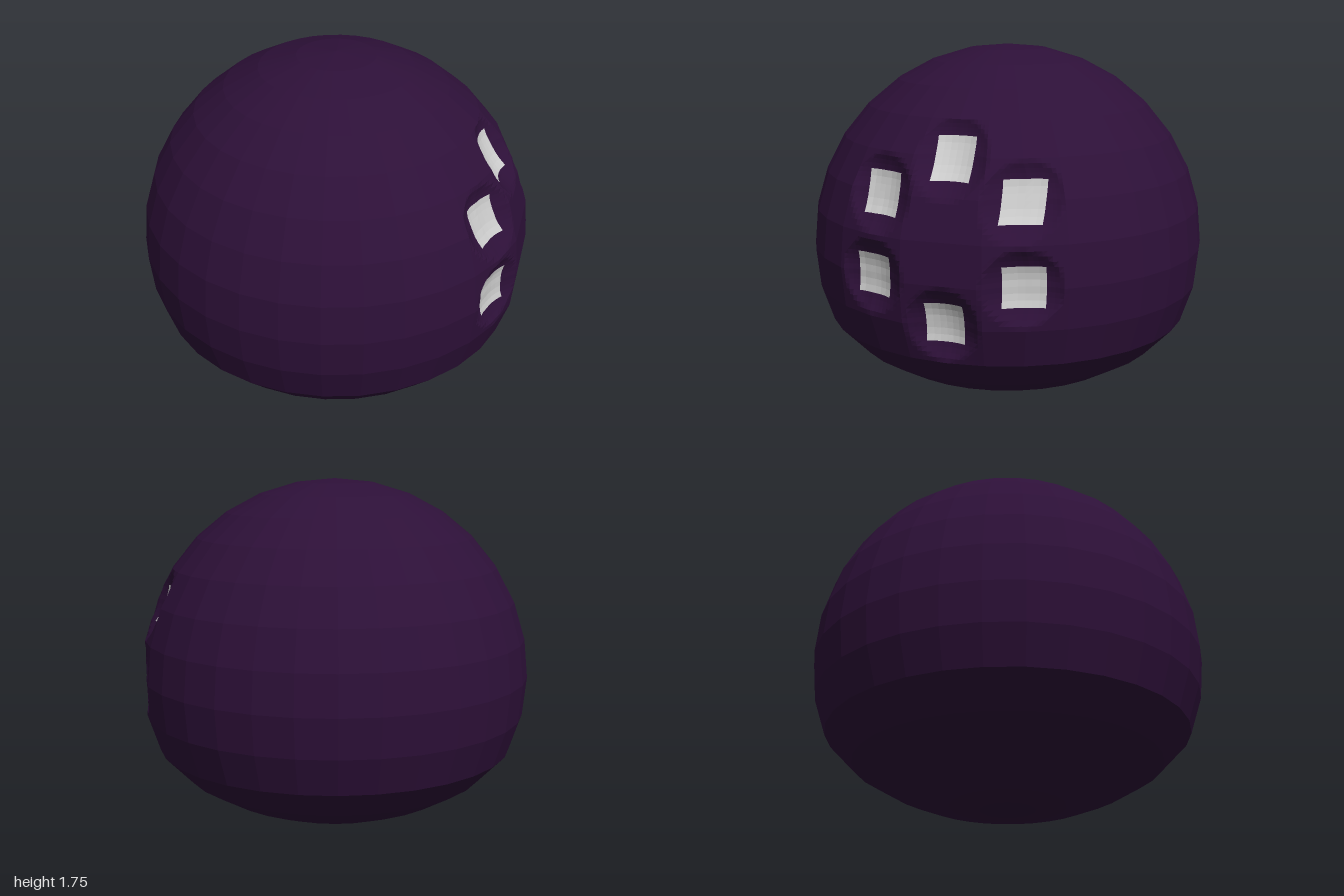
import * as THREE from 'three';

const SEGMENTS = 32, STEP = (Math.PI * 2) / SEGMENTS, SHIFT = 0.01;

// Body profile [radius, height]: a round dome above, a flattened belly below
const PROFILE = [];
for (let i = 0; i <= 9; i++) {
  const t = (i * Math.PI) / 16;
  PROFILE.push([Math.sin(t), 0.75 + Math.cos(t)]);
}
PROFILE.push([0.92, 0.37], [0.78, 0.225], [0.61, 0.125], [0.45, 0.06], [0.29, 0.025], [0.14, 0.005], [0, 0]);

// Eye centres [z, y] on the +x side
const EYES = [[0, 1.29], [0.335, 1.12], [-0.335, 1.12], [0.36, 0.75], [-0.36, 0.75], [0, 0.56]];
const SOCKET_RADIUS = 0.175, SOCKET_DEPTH = 0.075;

// Depth of the bowl-shaped sockets at a point of the face
function dent(y, z) {
  let depth = 0;
  for (const [ez, ey] of EYES) {
    const q = ((z - ez) ** 2 + (y - ey) ** 2) / SOCKET_RADIUS ** 2;
    if (q < 1) depth = Math.max(depth, SOCKET_DEPTH * (1 - q));
  }
  return depth;
}

// Corner of the faceted body; the middle of the face is flattened
const flat = (i) => (i >= 5 && i <= 9 ? 0.981 : 1);
function corner(i, k) {
  const [r, y] = PROFILE[i];
  const f = k === 0 ? flat(i) : 1;
  return new THREE.Vector3(r * f * Math.cos(k * STEP) + SHIFT, y, r * Math.sin(k * STEP));
}

// x of the faceted body at a given height and z, sunk by the sockets
function faceX(y, z) {
  const i = PROFILE.findIndex((p, n) => PROFILE[n + 1][1] <= y);
  const [r0, y0] = PROFILE[i], [r1, y1] = PROFILE[i + 1];
  const t = (y0 - y) / (y0 - y1);
  const r = THREE.MathUtils.lerp(r0, r1, t);
  const f = THREE.MathUtils.lerp(flat(i), flat(i + 1), t);
  const k = Math.floor(Math.asin(z / r) / STEP);
  const za = r * Math.sin(k * STEP), zb = r * Math.sin((k + 1) * STEP);
  const xa = r * Math.cos(k * STEP) * (k === 0 ? f : 1);
  const xb = r * Math.cos((k + 1) * STEP) * (k === -1 ? f : 1);
  return THREE.MathUtils.lerp(xa, xb, (z - za) / (zb - za)) + SHIFT - dent(y, z);
}

// Fills an n x n grid of triangles from a point rule
function addGrid(out, n, point) {
  for (let a = 0; a < n; a++) {
    for (let b = 0; b < n; b++) {
      const p = point(a / n, b / n), q = point(a / n, (b + 1) / n);
      const s = point((a + 1) / n, (b + 1) / n), t = point((a + 1) / n, b / n);
      if (p.distanceTo(q) > 1e-6) out.push(p, q, s);
      if (s.distanceTo(t) > 1e-6) out.push(p, s, t);
    }
  }
}

function makeMesh(name, points, color) {
  const geometry = new THREE.BufferGeometry().setFromPoints(points);
  geometry.computeVertexNormals();
  const mesh = new THREE.Mesh(geometry, new THREE.MeshStandardMaterial({ color, flatShading: true }));
  mesh.name = name;
  return mesh;
}

export function createModel() {
  const group = new THREE.Group();
  group.name = 'sixEyedHead';

  // Body: plain facets, finely divided only around the sockets
  const body = [];
  for (let i = 0; i < PROFILE.length - 1; i++) {
    for (let k = -SEGMENTS / 2; k < SEGMENTS / 2; k++) {
      const A = corner(i, k), B = corner(i, k + 1), C = corner(i + 1, k + 1), D = corner(i + 1, k);
      const onFace = i >= 4 && i <= 9 && k >= -4 && k <= 3;
      addGrid(body, onFace ? 8 : 1, (v, u) => {
        const p = A.clone().lerp(B, u).lerp(D.clone().lerp(C, u), v);
        if (onFace) p.x -= dent(p.y, p.z);
        return p;
      });
    }
  }
  group.add(makeMesh('body', body, 0x2d1038));

  // Eyes: square bowls lining the middle of each socket
  const eyes = new THREE.Group();
  eyes.name = 'eyes';
  for (const [ez, ey] of EYES) {
    const points = [];
    addGrid(points, 6, (v, u) => {
      const y = ey + 0.095 - v * 0.19, z = ez - 0.092 + u * 0.184;
      return new THREE.Vector3(faceX(y, z) + 0.006, y, z);
    });
    eyes.add(makeMesh('eye', points, 0xcccccc));
  }
  group.add(eyes);
  return group;
}
